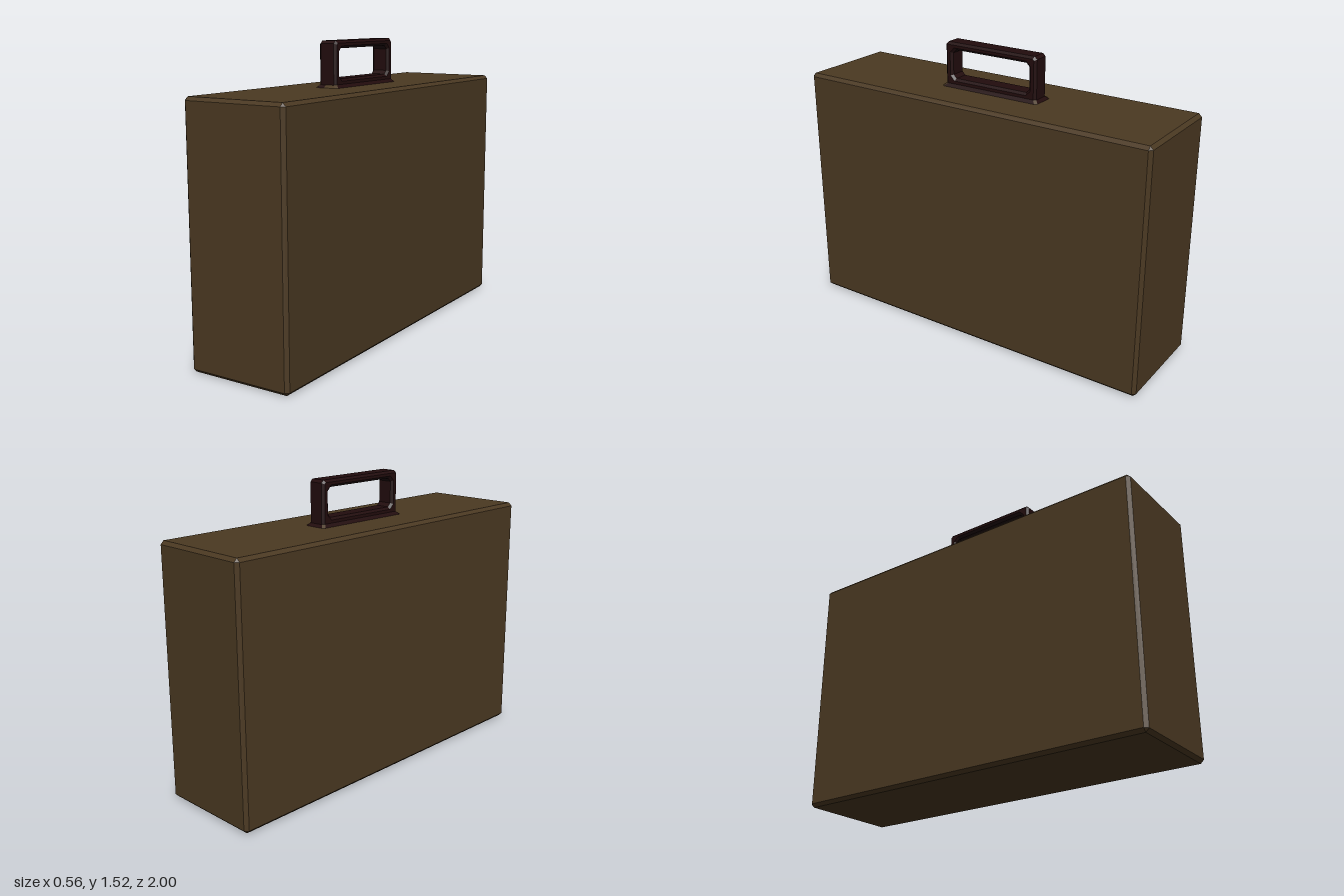
import * as THREE from 'three';
import { ConvexGeometry } from 'three/addons/geometries/ConvexGeometry.js';

// Box with flat single-step bevels, centred on the origin
function chamferBox(hx, hy, hz, c) {
  const points = [];
  for (const x of [-1, 1]) for (const y of [-1, 1]) for (const z of [-1, 1]) {
    points.push(
      new THREE.Vector3(x * hx, y * (hy - c), z * (hz - c)),
      new THREE.Vector3(x * (hx - c), y * hy, z * (hz - c)),
      new THREE.Vector3(x * (hx - c), y * (hy - c), z * hz));
  }
  return new ConvexGeometry(points);
}

// Rectangle with cut corners
function cutRect(Path, w, y0, y1, c) {
  return new Path([
    [-w + c, y0], [w - c, y0], [w, y0 + c], [w, y1 - c],
    [w - c, y1], [-w + c, y1], [-w, y1 - c], [-w, y0 + c],
  ].map(([x, y]) => new THREE.Vector2(x, y)));
}

// Ring of cut-corner outline points; the front edge is split near the middle
function flareRing(x, z, c, y) {
  return [
    [-0.01, z], [x - c, z], [x, z - c], [x, -z + c], [x - c, -z],
    [-x + c, -z], [-x, -z + c], [-x, z - c], [-x + c, z],
  ].map(([px, pz]) => [px, y, pz]);
}

export function createModel() {
  const brown = new THREE.MeshStandardMaterial({ color: 0x4b3922 });
  brown.name = 'brown leather';
  const maroon = new THREE.MeshStandardMaterial({ color: 0x220c0d });
  maroon.name = 'dark maroon';

  const model = new THREE.Group();
  model.name = 'suitcase';
  const add = (name, geometry, material) => {
    const mesh = new THREE.Mesh(geometry, material);
    mesh.name = name;
    model.add(mesh);
    return mesh;
  };

  // Case body
  add('caseBody', chamferBox(0.28, 0.645, 1, 0.017), brown).position.y = 0.645;

  // Handle: bevelled frame with a grip opening
  const bevel = 0.012;
  const frame = cutRect(THREE.Shape, 0.27, 1.28, 1.52, 0.014);
  frame.holes.push(cutRect(THREE.Path, 0.228, 1.333, 1.482, 0.018));
  const handle = new THREE.ExtrudeGeometry(frame, {
    depth: 0.1 - 2 * bevel, bevelEnabled: true, bevelSegments: 1,
    bevelThickness: bevel, bevelSize: bevel, bevelOffset: -bevel,
  });
  handle.translate(0, 0, -0.05 + bevel).rotateY(Math.PI / 2);
  add('handle', handle, maroon);

  // Flared foot where the handle meets the case
  const low = flareRing(0.065, 0.285, 0.012, 1.29);
  const high = flareRing(0.048, 0.266, 0.012, 1.308);
  const brownFaces = [0, 1, 3, 5, 7]; // front patch and the four corners
  const flare = new THREE.BufferGeometry();
  const positions = [];
  low.forEach((a, i) => {
    const j = (i + 1) % low.length;
    positions.push(...a, ...low[j], ...high[j], ...a, ...high[j], ...high[i]);
    flare.addGroup(i * 6, 6, brownFaces.includes(i) ? 0 : 1);
  });
  flare.setAttribute('position', new THREE.Float32BufferAttribute(positions, 3));
  flare.computeVertexNormals();
  add('handleFoot', flare, [brown, maroon]);

  // Flat top of the foot, under the grip opening
  const footTop = new THREE.BoxGeometry(0.09, 0.018, 0.526);
  add('handleFootTop', footTop, maroon).position.y = 1.299;

  return model;
}
